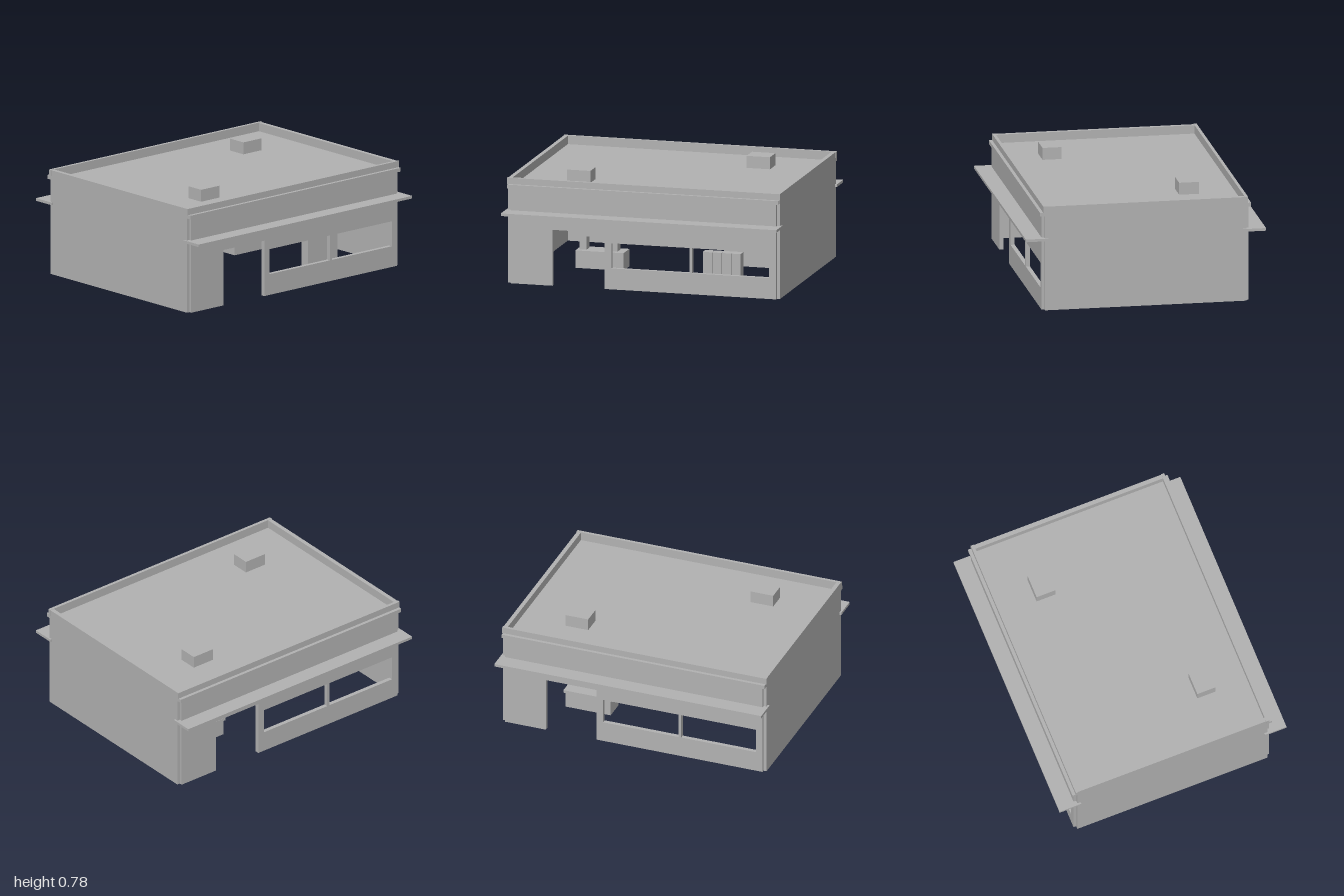
import * as THREE from 'three';

export function createModel() {
  const group = new THREE.Group();
  const grey = new THREE.MeshStandardMaterial({ color: 0xb2b2b2 });
  grey.name = 'plain grey';

  // Box given by its minimum and maximum corners
  function box(parent, name, x0, x1, y0, y1, z0, z1) {
    const m = new THREE.Mesh(new THREE.BoxGeometry(x1 - x0, y1 - y0, z1 - z0), grey);
    m.position.set((x0 + x1) / 2, (y0 + y1) / 2, (z0 + z1) / 2);
    m.name = name;
    parent.add(m);
    return m;
  }

  // Outline extruded along z from z0 to z1
  function slab(parent, name, shape, z0, z1) {
    const geo = new THREE.ExtrudeGeometry(shape, { depth: z1 - z0, bevelEnabled: false });
    const m = new THREE.Mesh(geo, grey);
    m.position.z = z0;
    m.name = name;
    parent.add(m);
  }

  function outline(points) {
    return new THREE.Shape(points.map(([x, y]) => new THREE.Vector2(x, y)));
  }

  // Shopfront: wall with doorway and windows, awning and cornice
  function shopfront(name) {
    const side = new THREE.Group();
    side.name = name;
    const wall = outline([
      [-0.965, 0], [-0.66, 0], [-0.66, 0.4], [-0.28, 0.4],
      [-0.28, 0], [0.965, 0], [0.965, 0.69], [-0.965, 0.69],
    ]);
    for (const [a, b] of [[-0.23, 0.335], [0.355, 0.915]]) {
      wall.holes.push(new THREE.Path([
        new THREE.Vector2(a, 0.15), new THREE.Vector2(a, 0.33),
        new THREE.Vector2(b, 0.33), new THREE.Vector2(b, 0.15),
      ]));
    }
    slab(side, 'shopfrontWall', wall, 0.705, 0.735);
    box(side, 'awning', -1, 1, 0.503, 0.522, 0.69, 0.853);
    box(side, 'corniceBand', -0.985, 0.985, 0.68, 0.707, 0.705, 0.75);
    box(side, 'parapet', -0.99, 0.99, 0.707, 0.752, 0.705, 0.727);
    group.add(side);
    return side;
  }
  shopfront('front');
  shopfront('back').rotation.y = Math.PI;

  // Side walls rise to form the side parapets
  box(group, 'leftWall', 0.957, 0.987, 0, 0.75, -0.715, 0.715);
  box(group, 'rightWall', -0.987, -0.957, 0, 0.75, -0.715, 0.715);

  // Roof deck with two vents
  box(group, 'roof', -0.96, 0.96, 0.67, 0.69, -0.71, 0.71);
  box(group, 'frontVent', -0.63, -0.46, 0.69, 0.776, 0.33, 0.465);
  box(group, 'backVent', 0.455, 0.625, 0.69, 0.776, -0.445, -0.305);

  // Row of four cabinets inside
  for (let i = 0; i < 4; i++) {
    const x = 0.36 + i * 0.069;
    box(group, 'cabinet', x, x + 0.068, 0, 0.25, 0.41, 0.48);
  }

  // Counter carrying an arched machine
  box(group, 'counter', -0.665, -0.315, 0, 0.125, -0.02, 0.13);
  slab(group, 'counterArch', outline([
    [-0.645, 0.125], [-0.595, 0.125], [-0.595, 0.22], [-0.42, 0.22],
    [-0.42, 0.125], [-0.37, 0.125], [-0.37, 0.25], [-0.39, 0.262],
    [-0.62, 0.262], [-0.645, 0.25],
  ]), 0.02, 0.09);

  // Serving counter near the back door
  box(group, 'servingCounter', 0.31, 0.65, 0, 0.115, -0.385, -0.235);
  box(group, 'servingCounterTop', 0.3, 0.66, 0.115, 0.135, -0.395, -0.225);

  return group;
}
